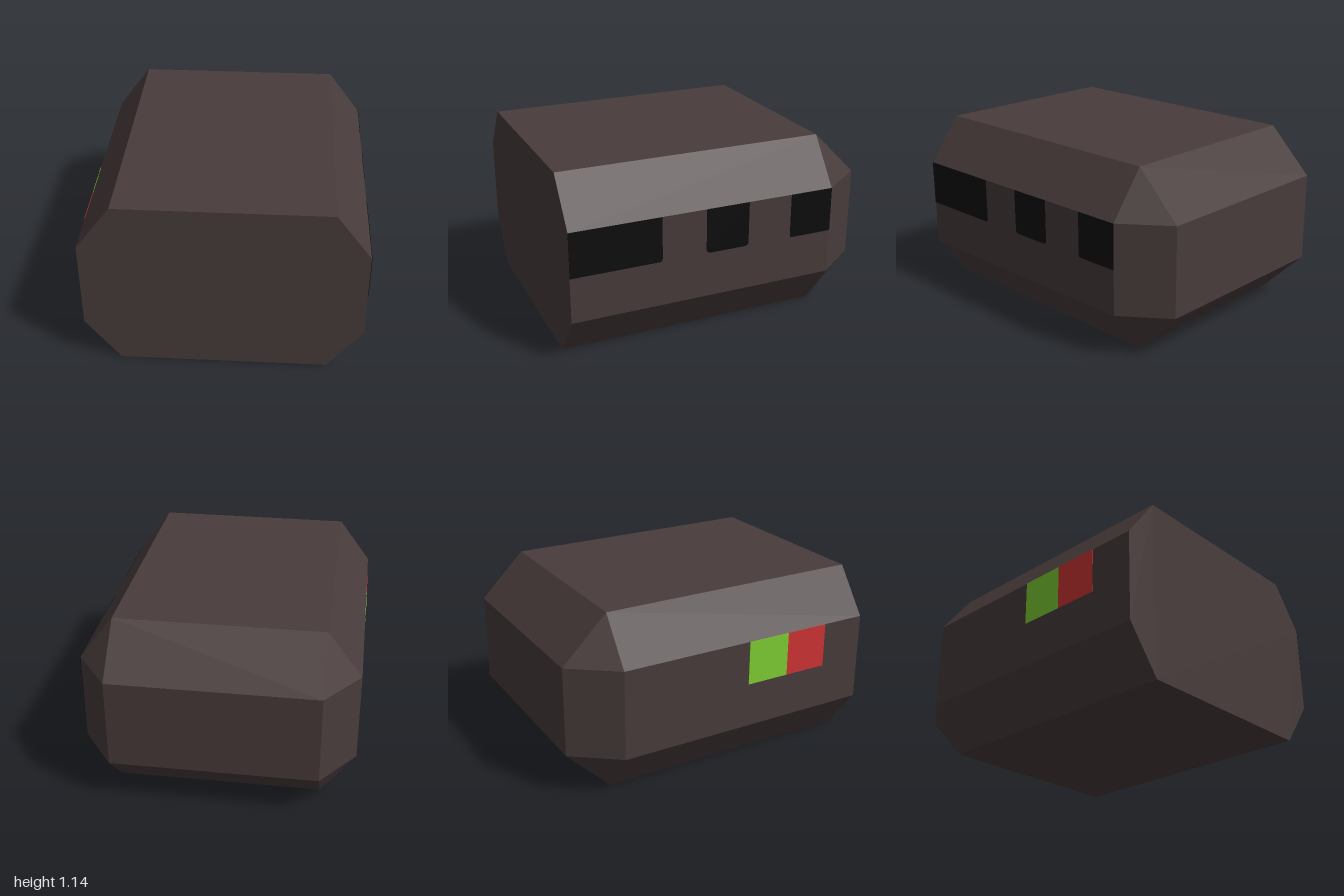
import * as THREE from 'three';
import { ConvexGeometry } from 'three/addons/geometries/ConvexGeometry.js';

const W = 0.857, TOP = 1.143, LOW = 0.286, HIGH = 0.857; // half width and heights
const INNER = 0.643, BEVEL_Z = -0.714; // chamfer positions

function material(name, color) {
  const m = new THREE.MeshStandardMaterial({ color });
  m.name = name;
  return m;
}

// Thin plate on a side wall; r1 and r2 round the lower corners at z1 and z2
function sidePlate(name, mat, side, z1, z2, r1 = 0, r2 = 0) {
  const bottom = 0.573, top = HIGH;
  let a = -side * z1, b = -side * z2, ra = r1, rb = r2;
  if (a > b) [a, b, ra, rb] = [b, a, rb, ra];
  const s = new THREE.Shape();
  s.moveTo(a + ra, bottom);
  s.lineTo(b - rb, bottom);
  if (rb) s.quadraticCurveTo(b, bottom, b, bottom + rb);
  s.lineTo(b, top);
  s.lineTo(a, top);
  s.lineTo(a, bottom + ra);
  if (ra) s.quadraticCurveTo(a, bottom, a + ra, bottom);
  const g = new THREE.ExtrudeGeometry(s, { depth: 0.003, bevelEnabled: false, curveSegments: 4 });
  const mesh = new THREE.Mesh(g, mat);
  mesh.name = name;
  mesh.rotation.y = side * Math.PI / 2;
  mesh.position.x = side * W;
  return mesh;
}

export function createModel() {
  const group = new THREE.Group();
  group.name = 'chamferedPod';
  const shell = material('dark brown', 0x483b3b);
  const black = material('black', 0x0d0d0d);
  const green = material('green', 0x7ccb32);
  const red = material('red', 0xcb3232);

  // Octagonal body, flat at the front and chamfered towards the back
  const points = [];
  for (const sx of [-1, 1]) {
    for (const z of [1, BEVEL_Z]) {
      for (const [x, y] of [[INNER, 0], [W, LOW], [W, HIGH], [INNER, TOP]]) {
        points.push(new THREE.Vector3(sx * x, y, z));
      }
    }
    for (const y of [LOW, HIGH]) points.push(new THREE.Vector3(sx * INNER, y, -1));
  }
  const body = new THREE.Mesh(new ConvexGeometry(points), shell);
  body.name = 'body';
  group.add(body);

  // Dark windows on the left wall
  group.add(
    sidePlate('frontWindow', black, 1, 1, 0.429, 0, 0.02),
    sidePlate('middleWindow', black, 1, 0.143, -0.138, 0.025, 0.025),
    sidePlate('rearWindow', black, 1, -0.429, BEVEL_Z, 0.01, 0)
  );

  // Signal panels on the right wall
  group.add(
    sidePlate('greenPanel', green, -1, 0.143, 0.429),
    sidePlate('redPanel', red, -1, 0.429, 0.714)
  );
  return group;
}
